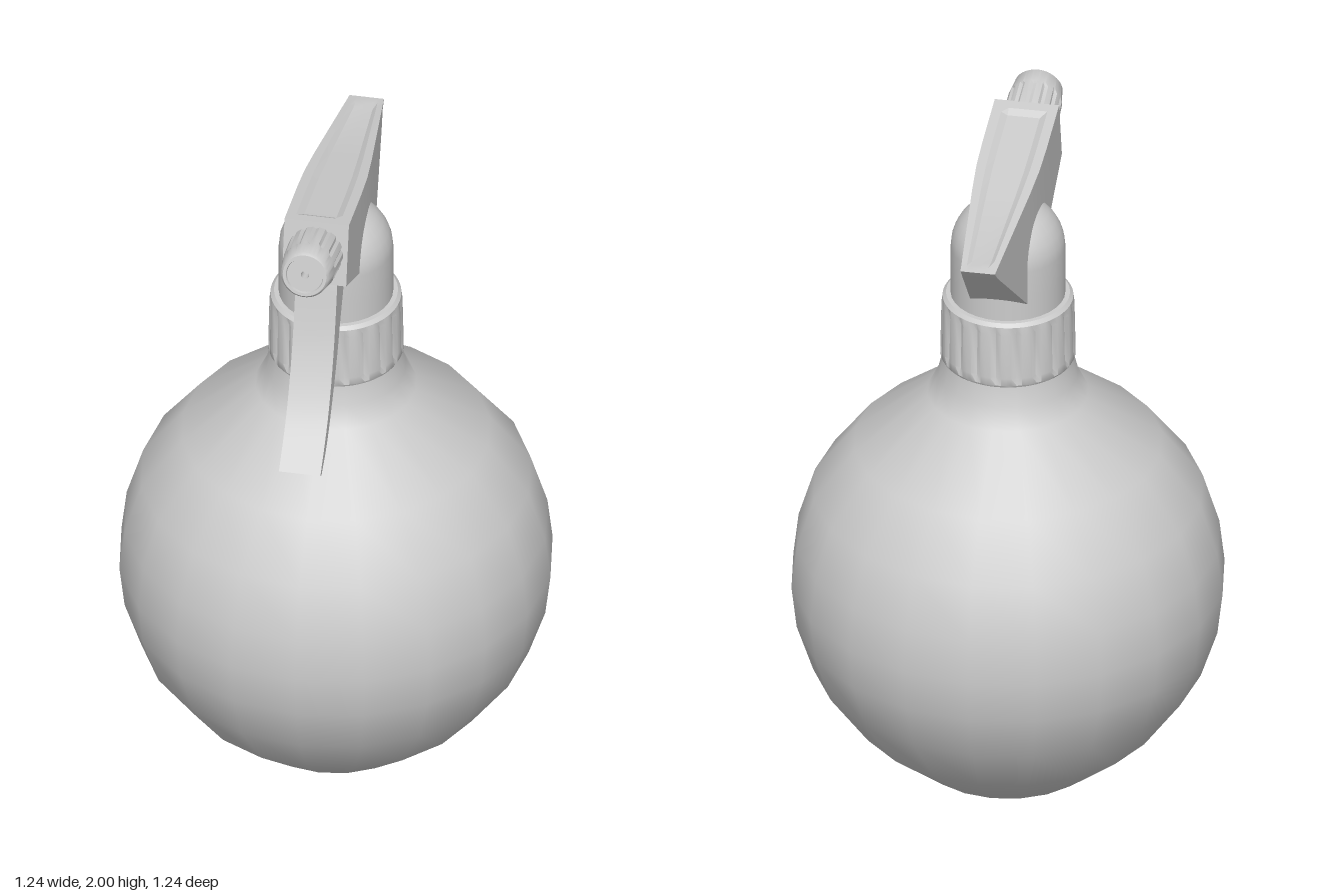
import * as THREE from 'three';
import { toCreasedNormals } from 'three/addons/utils/BufferGeometryUtils.js';

const material = new THREE.MeshStandardMaterial({ color: 0xcccccc, side: THREE.DoubleSide });

function part(name, geometry) {
  const mesh = new THREE.Mesh(geometry, material);
  mesh.name = name;
  return mesh;
}

const vectors = (points) => points.map(([a, b]) => new THREE.Vector2(a, b));

// Lathe whose wall between heights y0 and y1 is cut by shallow vertical grooves
function ribbedLathe(profile, ribs, y0, y1, depth) {
  const perRib = 4;
  const geometry = new THREE.LatheGeometry(vectors(profile), ribs * perRib);
  const p = geometry.attributes.position;
  for (let i = 0; i < p.count; i++) {
    const column = Math.floor(i / profile.length) % perRib;
    const y = p.getY(i);
    if (column !== 0 || y < y0 || y > y1) continue;
    const r = Math.hypot(p.getX(i), p.getZ(i));
    const k = (r - depth) / r;
    p.setX(i, p.getX(i) * k);
    p.setZ(i, p.getZ(i) * k);
  }
  return toCreasedNormals(geometry, 0.6);
}

// Spray head: cross-sections from front to back, with a shallow groove on top
function headGeometry() {
  // [top z, top y, bottom z, bottom y, half width, groove depth]
  const stations = [
    [0.292, 1.99, 0.334, 1.804, 0.093, 0],
    [0.26, 1.985, 0.29, 1.782, 0.093, 0],
    [0.24, 1.982, 0.27, 1.772, 0.093, 0.01],
    [0.1, 1.96, 0.133, 1.703, 0.093, 0.01],
    [0.0, 1.945, 0.0, 1.645, 0.091, 0.01],
    [-0.11, 1.928, -0.14, 1.585, 0.083, 0.01],
    [-0.41, 1.882, -0.405, 1.815, 0.055, 0.008],
    [-0.44, 1.877, -0.43, 1.837, 0.052, 0],
    [-0.467, 1.873, -0.445, 1.85, 0.05, 0],
  ];
  const n = 8;
  const positions = [];
  const index = [];
  for (const [tz, ty, bz, by, w, g] of stations) {
    positions.push(w, by, bz);
    for (const [k, d] of [[1, 0], [0.7, 0], [0.5, g], [-0.5, g], [-0.7, 0], [-1, 0]]) {
      positions.push(w * k, ty - d, tz);
    }
    positions.push(-w, by, bz);
  }
  for (let i = 0; i < stations.length - 1; i++) {
    for (let j = 0; j < n; j++) {
      const a = i * n + j;
      const b = i * n + ((j + 1) % n);
      index.push(a, a + n, b, b, a + n, b + n);
    }
  }
  const last = (stations.length - 1) * n;
  for (let j = 1; j < n - 1; j++) {
    index.push(0, j, j + 1, last, last + j + 1, last + j);
  }
  const geometry = new THREE.BufferGeometry();
  geometry.setAttribute('position', new THREE.Float32BufferAttribute(positions, 3));
  geometry.setIndex(index);
  return toCreasedNormals(geometry, 0.35);
}

// Curved lever, outlined from the side and extruded across its width
function triggerGeometry() {
  const shape = new THREE.Shape();
  shape.moveTo(0.18, 1.8);
  shape.lineTo(0.18, 1.735);
  shape.splineThru(vectors([[0.245, 1.625], [0.32, 1.49], [0.44, 1.34], [0.535, 1.278]]));
  shape.lineTo(0.552, 1.287);
  shape.splineThru(vectors([[0.435, 1.41], [0.35, 1.58], [0.295, 1.78]]));
  shape.lineTo(0.28, 1.82);
  const geometry = new THREE.ExtrudeGeometry(shape, { depth: 0.12, bevelEnabled: false, curveSegments: 4 });
  geometry.translate(0, 0, -0.06);
  geometry.rotateY(-Math.PI / 2);
  return toCreasedNormals(geometry, 0.5);
}

export function createModel() {
  const model = new THREE.Group();
  model.name = 'sprayBottle';

  // Round bottle with a flat base and short neck
  model.add(part('bottle', new THREE.LatheGeometry(vectors([
    [0, 0], [0.09, 0.002], [0.258, 0.008], [0.44, 0.16], [0.557, 0.324], [0.605, 0.47],
    [0.62, 0.6], [0.605, 0.73], [0.557, 0.886], [0.44, 1.04], [0.23, 1.208],
    [0.2, 1.27], [0.185, 1.33], [0.18, 1.37],
  ]), 20)));

  // Ribbed screw collar
  model.add(part('collar', ribbedLathe([
    [0.15, 1.33], [0.188, 1.33], [0.192, 1.337], [0.192, 1.36],
    [0.189, 1.5], [0.186, 1.525], [0.176, 1.535], [0.14, 1.535],
  ], 20, 1.35, 1.51, 0.008)));

  // Domed neck rising into the head
  const dome = [[0.163, 1.5], [0.163, 1.6]];
  for (let i = 0; i <= 8; i++) {
    const a = (i / 8) * Math.PI / 2;
    dome.push([0.163 * Math.cos(a), 1.69 + 0.155 * Math.sin(a)]);
  }
  model.add(part('neckDome', new THREE.LatheGeometry(vectors(dome), 32)));

  model.add(part('sprayHead', headGeometry()));
  model.add(part('trigger', triggerGeometry()));

  // Ribbed nozzle with a recessed tip, tilted slightly upward
  const nozzle = part('nozzle', ribbedLathe([
    [0.08, -0.02], [0.08, 0.02], [0.078, 0.1], [0.076, 0.11], [0.069, 0.16], [0.063, 0.167],
    [0.054, 0.167], [0.052, 0.16], [0.012, 0.16], [0.01, 0.13], [0, 0.13],
  ], 14, -0.03, 0.105, 0.006));
  nozzle.position.set(0, 1.897, 0.315);
  nozzle.rotation.x = Math.PI / 2 - 0.23;
  model.add(nozzle);

  return model;
}
